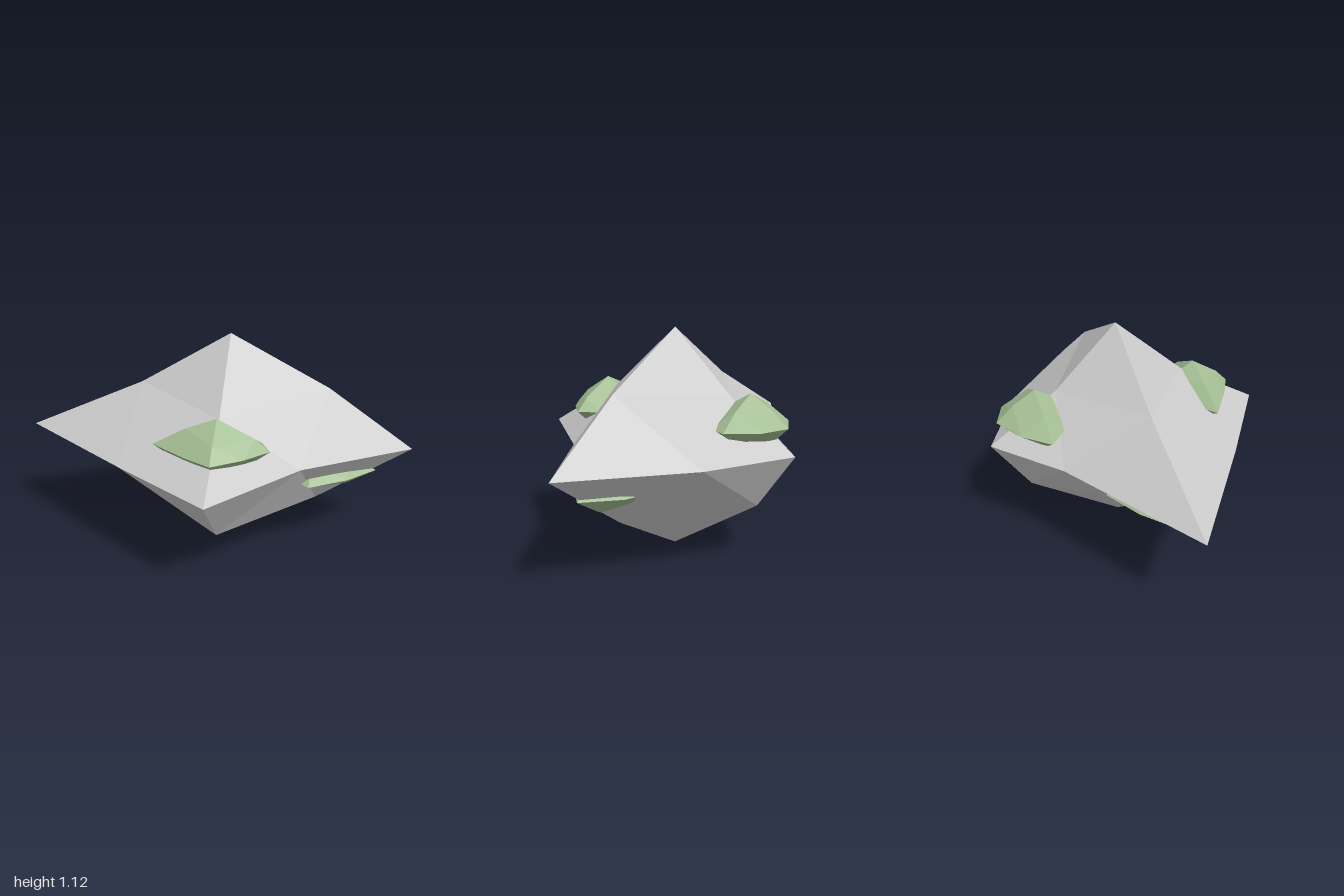
import * as THREE from 'three';

const axes = {
  px: [1, 0, 0], nx: [-1, 0, 0],
  py: [0, 1, 0], ny: [0, -1, 0],
  pz: [0, 0, 1], nz: [0, 0, -1],
};

// Irregular octahedron, each side split into four facets.
// reach: distance from the centre to each tip.
// mids: offsets of a split point along its two axes, e.g. pxpy: [x, y].
function facetedStone(center, reach, mids) {
  const c = new THREE.Vector3(...center);
  const along = (key, d) => new THREE.Vector3(...axes[key]).multiplyScalar(d);
  const tip = (k) => c.clone().add(along(k, reach[k]));
  const mid = (a, b) => {
    const [da, db] = mids[a + b] ?? [0.56 * reach[a], 0.56 * reach[b]];
    return c.clone().add(along(a, da)).add(along(b, db));
  };
  const positions = [];
  for (const x of ['px', 'nx']) for (const y of ['py', 'ny']) for (const z of ['pz', 'nz']) {
    const X = tip(x), Y = tip(y), Z = tip(z);
    const XY = mid(x, y), YZ = mid(y, z), XZ = mid(x, z);
    const mirrored = [x, y, z].filter((k) => k[0] === 'n').length % 2 === 1;
    for (const [p, q, r] of [[X, XY, XZ], [Y, YZ, XY], [Z, XZ, YZ], [XY, YZ, XZ]]) {
      for (const v of mirrored ? [p, r, q] : [p, q, r]) positions.push(v.x, v.y, v.z);
    }
  }
  const geometry = new THREE.BufferGeometry();
  geometry.setAttribute('position', new THREE.Float32BufferAttribute(positions, 3));
  geometry.computeVertexNormals();
  return geometry;
}

export function createModel() {
  const group = new THREE.Group();
  const stone = new THREE.MeshStandardMaterial({ color: 0xcccccc, flatShading: true });
  const moss = new THREE.MeshStandardMaterial({ color: 0xa4be94, flatShading: true });
  const add = (name, material, center, reach, mids) => {
    const mesh = new THREE.Mesh(facetedStone(center, reach, mids), material);
    mesh.name = name;
    group.add(mesh);
  };

  // Boulder
  add('rock', stone, [0.07, 0.563, -0.065],
    { px: 0.93, nx: 1.07, py: 0.56, ny: 0.56, pz: 0.785, nz: 0.665 },
    {
      pxpy: [0.50, 0.30], nxpy: [0.46, 0.28], pxny: [0.46, 0.315], nxny: [0.37, 0.275],
      pxpz: [0.39, 0.335], nxpz: [0.48, 0.445], pxnz: [0.44, 0.44], nxnz: [0.34, 0.39],
      pypz: [0.245, 0.36], pynz: [0.245, 0.32], nypz: [0.335, 0.44], nynz: [0.27, 0.475],
    });

  // Moss patches half sunk into the boulder
  add('frontMoss', moss, [0.07, 0.69, 0.36],
    { px: 0.25, nx: 0.31, py: 0.15, ny: 0.15, pz: 0.205, nz: 0.2 },
    {
      pxpy: [0.18, 0.06], nxpy: [0.15, 0.09], pypz: [0.065, 0.14],
      pxpz: [0.14, 0.11], nxpz: [0.13, 0.13], pxnz: [0.20, 0.10], nxnz: [0.19, 0.08],
    });
  add('backMoss', moss, [0.07, 0.69, -0.49],
    { px: 0.25, nx: 0.29, py: 0.145, ny: 0.15, pz: 0.2, nz: 0.2 },
    { pxnz: [0.15, 0.14], nxnz: [0.17, 0.12], pynz: [0.08, 0.11], pxpz: [0.20, 0.10] });
  add('leftMoss', moss, [0.50, 0.43, -0.065],
    { px: 0.33, nx: 0.25, py: 0.15, ny: 0.15, pz: 0.255, nz: 0.2 },
    { pxnz: [0.18, 0.145], nypz: [0.08, 0.10] });
  add('rightMoss', moss, [-0.35, 0.43, -0.065],
    { px: 0.2, nx: 0.35, py: 0.15, ny: 0.15, pz: 0.22, nz: 0.21 }, {});

  return group;
}
